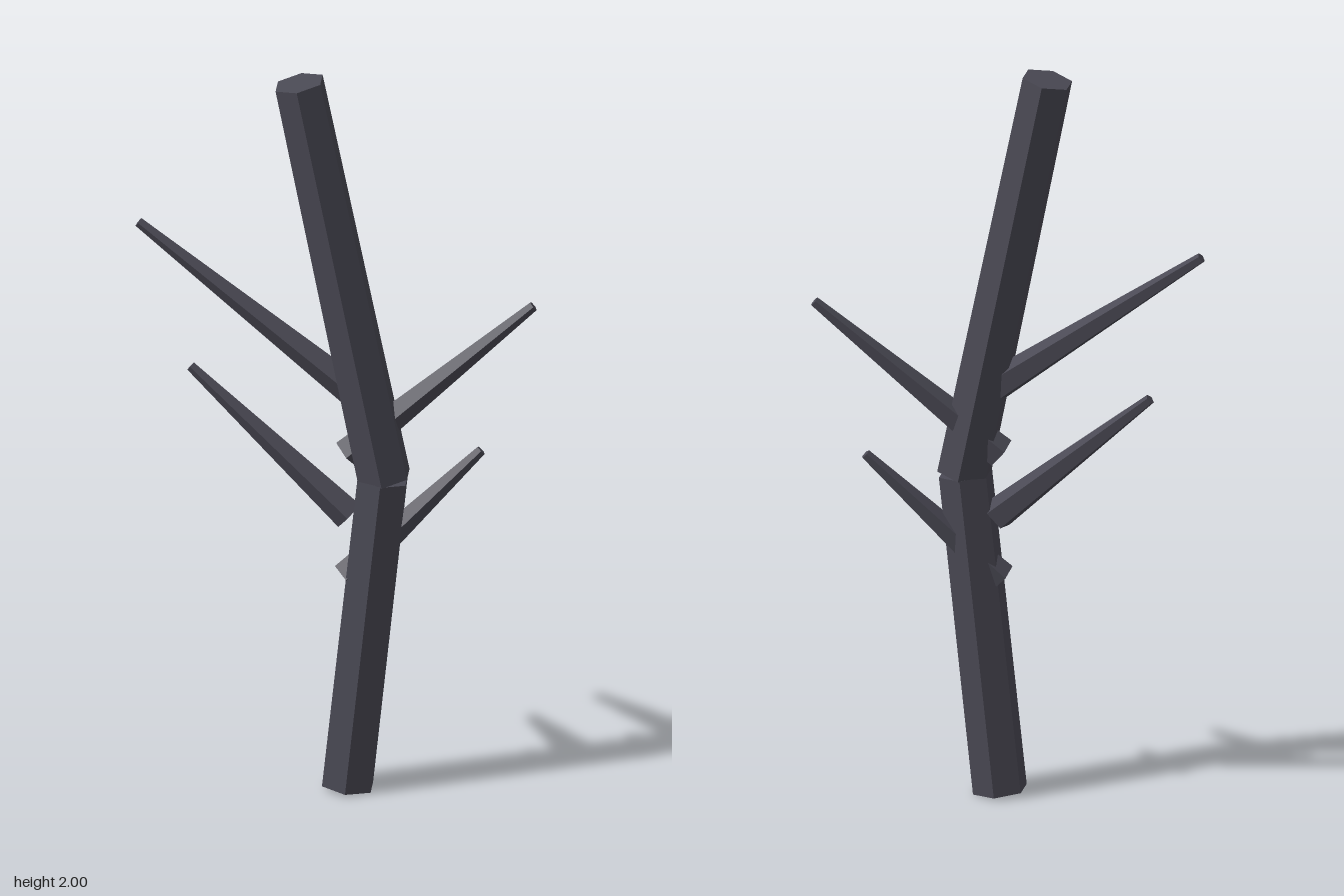
import * as THREE from 'three';

const bark = new THREE.MeshStandardMaterial({ color: 0x4a4954 });
bark.name = 'darkBark';

// Faceted tapered limb running from one point to another
function limb(name, from, to, rFrom, rTo, sides) {
  const a = new THREE.Vector3(...from);
  const b = new THREE.Vector3(...to);
  const axis = b.clone().sub(a);
  const geometry = new THREE.CylinderGeometry(rTo, rFrom, axis.length(), sides).toNonIndexed();
  geometry.computeVertexNormals();
  const mesh = new THREE.Mesh(geometry, bark);
  mesh.name = name;
  mesh.position.copy(a).add(b).multiplyScalar(0.5);
  mesh.quaternion.setFromUnitVectors(new THREE.Vector3(0, 1, 0), axis.normalize());
  return mesh;
}

export function createModel() {
  const tree = new THREE.Group();
  tree.name = 'bareTree';

  // Trunk: two hexagonal sections meeting at a bend
  tree.add(limb('lowerTrunk', [0.034, 0.008, 0.004], [0.126, 0.88, 0.004], 0.074, 0.073, 6));
  tree.add(limb('upperTrunk', [0.13, 0.878, 0.004], [-0.093, 1.987, 0.004], 0.0745, 0.069, 6));

  // Branches: pointed, leaning slightly backward; their butts poke out of the trunk
  const branches = [
    ['upperRightBranch', [0.043, 1.128, 0], [-0.52, 1.55, -0.067]],
    ['lowerRightBranch', [0.04, 0.77, 0], [-0.383, 1.147, -0.067]],
    ['upperLeftBranch', [0.032, 0.942, 0], [0.515, 1.35, -0.067]],
    ['lowerLeftBranch', [0.031, 0.595, 0], [0.378, 0.937, -0.067]],
  ];
  for (const [name, base, tip] of branches) {
    tree.add(limb(name, base, tip, 0.045, 0.014, 5));
  }

  return tree;
}
